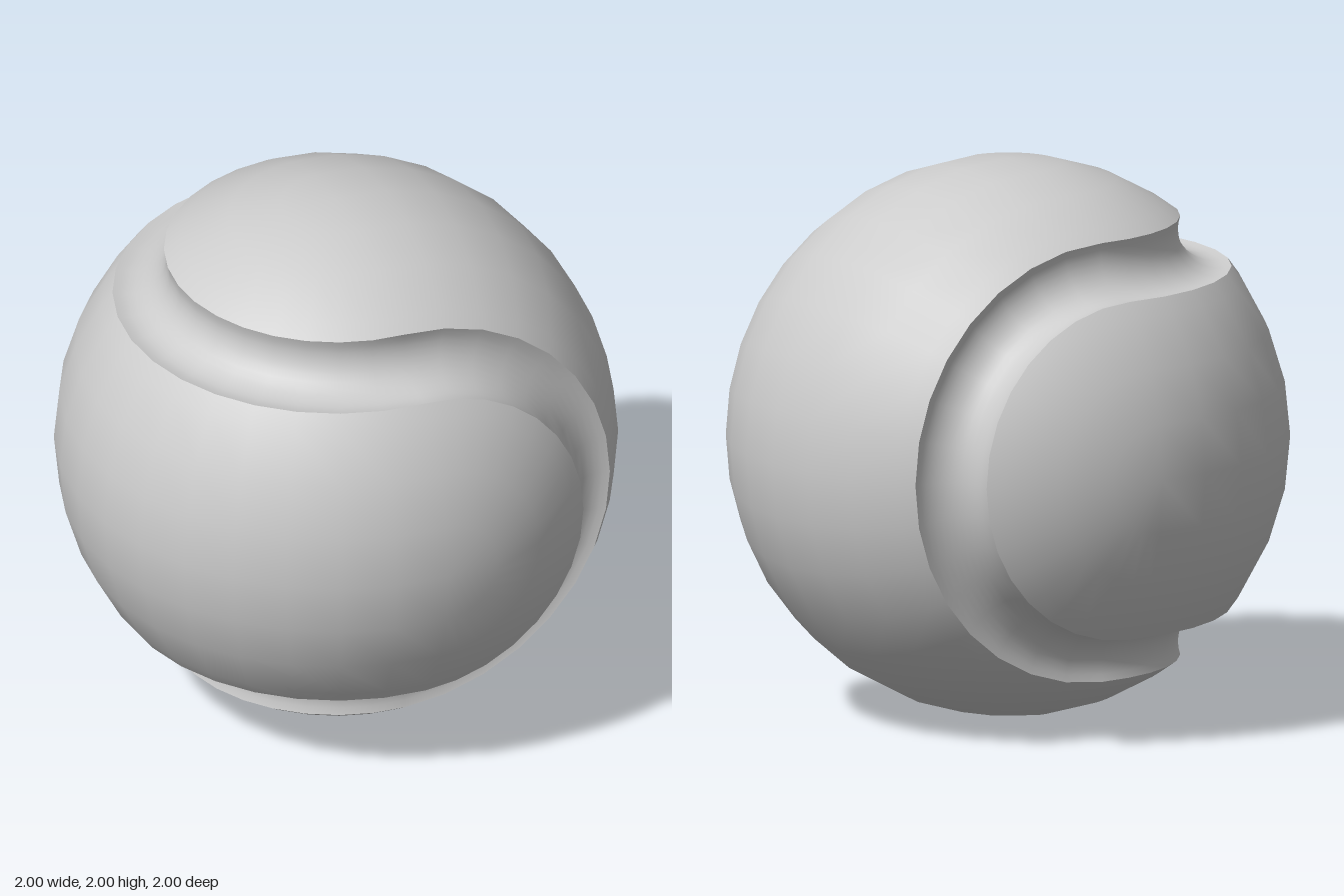
import * as THREE from 'three';

const DEG = Math.PI / 180;
const EDGE = 37.6;      // latitude where the groove starts
const STEP = 11.25;     // 32 segments round the ball
const GROOVE = 0.745;   // groove circle centre, on the 45 degree line

const feltGrey = new THREE.MeshStandardMaterial({ color: 0xcccccc });
feltGrey.name = 'feltGrey';

// Spherical arc between two latitudes, with corners on the 32-sided outline
function sphereArc(from, to) {
  const lats = [from];
  for (let a = -90; a <= 90; a += STEP) if (a > from && a < to) lats.push(a);
  lats.push(to);
  return lats.map(a => new THREE.Vector2(Math.max(0, Math.cos(a * DEG)), Math.sin(a * DEG)));
}

// Undercut circular channel between the two patch edges
function grooveArc() {
  const dx = Math.cos(EDGE * DEG) - GROOVE, dy = Math.sin(EDGE * DEG) - GROOVE;
  const radius = Math.hypot(dx, dy), start = Math.atan2(dy, dx);
  const sweep = 2 * (start + 135 * DEG);
  return Array.from({ length: 13 }, (_, i) => {
    const a = start - sweep * i / 12;
    return new THREE.Vector2(GROOVE + radius * Math.cos(a), GROOVE + radius * Math.sin(a));
  });
}

// Mirrors a profile to the lower half, keeping it bottom to top
const flip = pts => pts.map(p => new THREE.Vector2(p.x, -p.y)).reverse();

// Half turn of a profile; spherical patches take exact radial normals
function halfLathe(name, points, phiStart, spherical) {
  const geo = new THREE.LatheGeometry(points, 16, phiStart, Math.PI);
  if (spherical) {
    const pos = geo.attributes.position, v = new THREE.Vector3();
    for (let i = 0; i < pos.count; i++) {
      v.fromBufferAttribute(pos, i).normalize();
      geo.attributes.normal.setXYZ(i, v.x, v.y, v.z);
    }
  }
  const mesh = new THREE.Mesh(geo, feltGrey);
  mesh.name = name;
  return mesh;
}

// Half ball: two caps, a band and two half-ring grooves
function halfBall(name, phiStart) {
  const half = new THREE.Group();
  half.name = name;
  const cap = sphereArc(90 - EDGE, 90), groove = grooveArc();
  half.add(
    halfLathe('upperCap', cap, phiStart, true),
    halfLathe('upperGroove', groove, phiStart, false),
    halfLathe('middleBand', sphereArc(-EDGE, EDGE), phiStart, true),
    halfLathe('lowerGroove', flip(groove), phiStart, false),
    halfLathe('lowerCap', flip(cap), phiStart, true)
  );
  return half;
}

export function createModel() {
  const ball = new THREE.Group();
  ball.name = 'ball';

  // Right half turns about the vertical axis, left half about the depth axis,
  // so the four half rings join into one continuous seam
  const rightHalf = halfBall('rightHalf', Math.PI);
  const leftHalf = halfBall('leftHalf', 0);
  leftHalf.rotation.x = Math.PI / 2;
  ball.add(rightHalf, leftHalf);
  ball.position.y = 1;

  const model = new THREE.Group();
  model.name = 'seamedBall';
  model.add(ball);
  return model;
}
